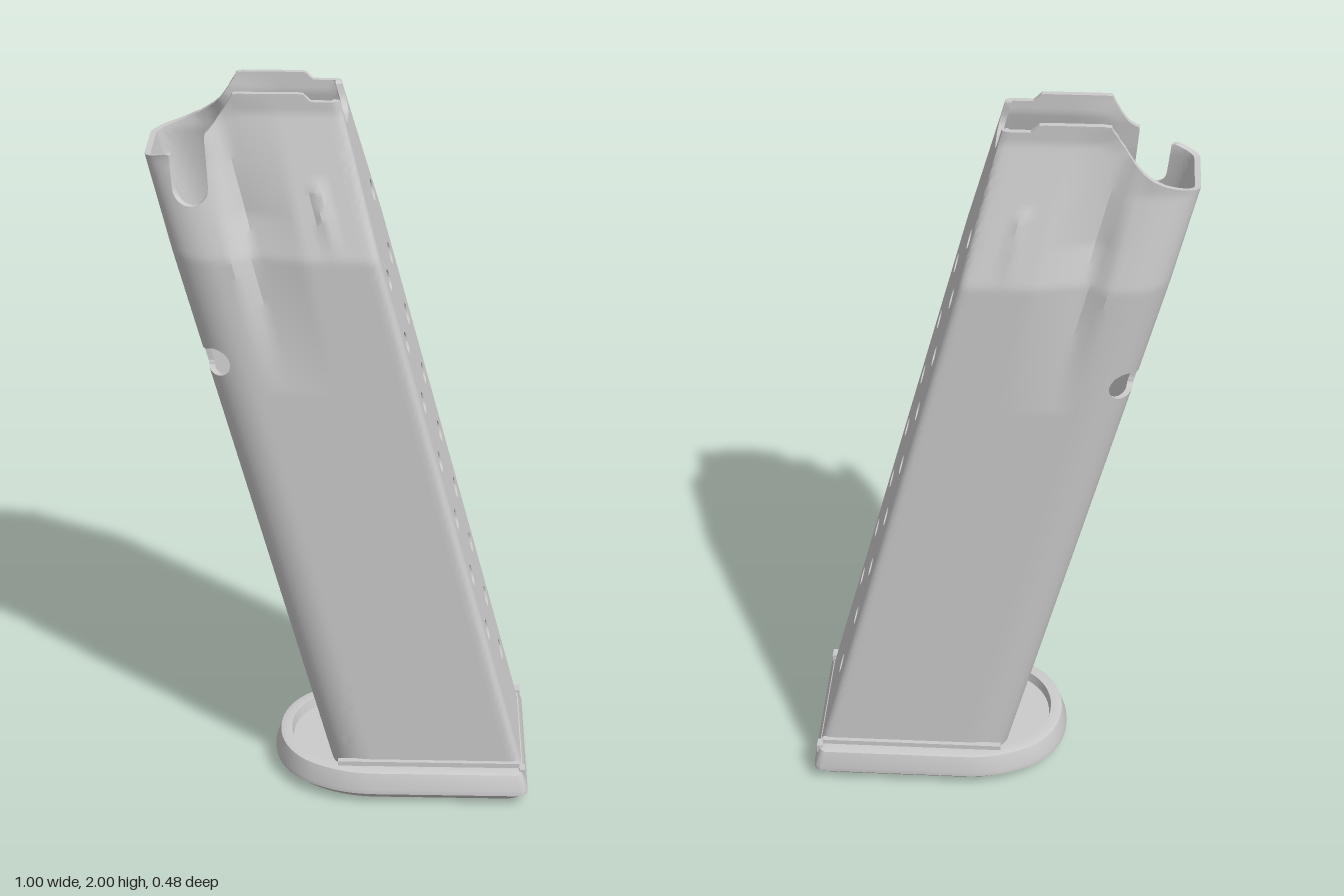
import * as THREE from 'three';
import { toCreasedNormals } from 'three/addons/utils/BufferGeometryUtils.js';

const HALF = 0.183, WALL = 0.015, ROWS = 170, BOTTOM = 0.06, TOP = 2.02;
const clamp01 = v => Math.min(1, Math.max(0, v));
const lerp = (a, b, t) => a + (b - a) * t;

// Slanted edges of the tube at height y
const leftEdge = y => -0.5 + (1.84 - y) * 0.2586;
const rightEdge = y => -0.02 + (1.98 - y) * 0.266;

// Rim height along x
const RIM = [[-0.5, 1.84], [-0.42, 1.862], [-0.37, 1.885], [-0.33, 1.92], [-0.3, 1.963],
  [-0.28, 2], [-0.11, 2], [-0.09, 1.98], [0, 1.98]];
function rimHeight(x) {
  if (x <= RIM[0][0]) return RIM[0][1];
  for (let i = 1; i < RIM.length; i++) {
    const [x0, y0] = RIM[i - 1], [x1, y1] = RIM[i];
    if (x <= x1) return lerp(y0, y1, (x - x0) / (x1 - x0));
  }
  return 1.98;
}

// Half-width of the tube: tapered neck, a pressed groove and a small rib on each side
function halfWidth(x, y) {
  const off = x - leftEdge(y);
  const front = HALF - 0.052 * clamp01((y - 1.6) / 0.24);
  const neck = HALF - 0.093 * clamp01((y - 1.6) / 0.35);
  let w = lerp(front, neck, clamp01((off - 0.12) / 0.08));
  const fold = lerp(-0.16, -0.3, (y - 1.24) / 0.68);
  const depth = y < 1.7 ? 0.04 * clamp01((y - 1.24) / 0.46) : 0.04 * clamp01((2 - y) / 0.3);
  const side = x < fold ? (fold - x) / 0.05 : (x - fold) / 0.13;
  w -= depth * clamp01(1 - side);
  const rib = clamp01((y - 1.6) / 0.1) * clamp01((1.8 - y) / 0.03);
  w += 0.014 * rib * clamp01(1 - Math.abs(off - 0.41) / 0.02);
  return Math.max(w, 0.086);
}

// Round holes in the wide wall: [z, y]
const HOLES = [[-0.085, 1.685], [-0.085, 0.305]];
for (let i = 0; i < 7; i++) for (const z of [-0.085, 0.09]) HOLES.push([z, 1.512 - i * 0.172]);

// Positive where the wall is solid, negative inside an opening
function solid(x, y, z) {
  const off = x - leftEdge(y);
  let d = rimHeight(x) - y;
  if (off > 0.45) {
    for (const [hz, hy] of HOLES) d = Math.min(d, Math.hypot(z - hz, y - hy) - 0.028);
    const a = Math.abs(z) - 0.028, b = Math.abs(y - 2.11) - 0.16; // rounded notch in the rim
    d = Math.min(d, Math.hypot(Math.max(a, 0), Math.max(b, 0)) + Math.min(Math.max(a, b), 0) - 0.04);
  } else if (off < 0.05) {
    for (const hy of [1.65, 0.25]) d = Math.min(d, Math.hypot(z, y - hy) - 0.028);
  }
  if (off < 0.25) {
    // openings through both rounded corners
    d = Math.min(d, Math.max(Math.hypot(x + 0.335, y - 1.31) - 0.04, 0.09 - Math.abs(z)));
    // slot in the left side
    const t = clamp01((y - 1.775) / 0.2);
    const slot = Math.hypot(x - lerp(-0.385, -0.4, t), y - lerp(1.775, 1.975, t)) - 0.045;
    d = Math.min(d, Math.max(slot, 0.04 - z));
  }
  return d;
}

// Half of the tube section as [x, z share of half-width], inset by t
function halfSection(y, t) {
  const x0 = leftEdge(y) + t, x1 = rightEdge(y) - t, h = HALF - t;
  const rx = 0.12 - t, rz = 0.083 - t, r = 0.022 - t, pts = [];
  const run = (n, f) => { for (let i = 0; i < n; i++) { const [x, z] = f(i / n); pts.push([x, z / h]); } };
  run(8, k => [x0, k * (h - rz)]);
  run(12, k => [x0 + rx * (1 - Math.cos(k * Math.PI / 2)), h - rz + rz * Math.sin(k * Math.PI / 2)]);
  run(24, k => [lerp(x0 + rx, x1 - r, k), h]);
  run(4, k => [x1 - r + r * Math.sin(k * Math.PI / 2), h - r + r * Math.cos(k * Math.PI / 2)]);
  run(14, k => [x1, (h - r) * (1 - k)]);
  pts.push([x1, 0]);
  return pts;
}

function sectionLoop(y, t) {
  const half = halfSection(y, t);
  const back = half.slice(1, -1).reverse().map(([x, z]) => [x, -z]);
  return [...half, ...back].map(([x, f]) => [x, y, f * (halfWidth(x, y) - t)]);
}

function makeMesh(name, positions, material, crease = 0.5) {
  const g = new THREE.BufferGeometry();
  g.setAttribute('position', new THREE.Float32BufferAttribute(positions, 3));
  const m = new THREE.Mesh(toCreasedNormals(g, crease), material);
  m.name = name;
  return m;
}

// Thin-walled tube: a grid of outer/inner point pairs trimmed by the openings
function tubePositions() {
  const out = [], grid = [];
  for (let j = 0; j <= ROWS; j++) {
    const y = lerp(BOTTOM, TOP, j / ROWS);
    const outer = sectionLoop(y, 0), inner = sectionLoop(y, WALL);
    grid.push(outer.map((p, i) => [solid(...p), ...p, ...inner[i]]));
  }
  const P = v => v.slice(1, 4), Q = v => v.slice(4, 7);
  const tri = (a, b, c) => out.push(...a, ...b, ...c);
  function clip(corners) {
    const poly = [];
    let exit, entry;
    corners.forEach((a, i) => {
      const b = corners[(i + 1) % 3];
      if (a[0] >= 0) poly.push(a);
      if ((a[0] >= 0) !== (b[0] >= 0)) {
        const t = a[0] / (a[0] - b[0]);
        const cut = a.map((v, k) => lerp(v, b[k], t));
        poly.push(cut);
        if (a[0] >= 0) exit = cut; else entry = cut;
      }
    });
    for (let i = 2; i < poly.length; i++) {
      tri(P(poly[0]), P(poly[i - 1]), P(poly[i]));
      tri(Q(poly[0]), Q(poly[i]), Q(poly[i - 1]));
    }
    if (exit && entry) { // wall thickness along the cut
      tri(P(entry), P(exit), Q(exit));
      tri(P(entry), Q(exit), Q(entry));
    }
  }
  const n = grid[0].length;
  for (let j = 0; j < ROWS; j++) for (let i = 0; i < n; i++) {
    const k = (i + 1) % n, a = grid[j][i], b = grid[j][k], c = grid[j + 1][k], d = grid[j + 1][i];
    clip([a, b, c]);
    clip([a, c, d]);
  }
  return out;
}

// Base plate: rounded nose outline, lofted through [y, inset] rings
function platePositions() {
  const s = new THREE.Shape();
  s.moveTo(-0.205, 0);
  s.bezierCurveTo(-0.205, 0.1, -0.15, 0.165, -0.1, 0.193);
  s.bezierCurveTo(-0.05, 0.22, 0, 0.24, 0.08, 0.24);
  s.lineTo(0.475, 0.24);
  s.quadraticCurveTo(0.498, 0.235, 0.498, 0.21);
  s.lineTo(0.498, 0);
  const half = s.getPoints(10);
  const outline = [...half, ...half.slice(1, -1).reverse().map(p => new THREE.Vector2(p.x, -p.y))];
  const rings = [[0.006, 1], [0.006, 0.03], [0.036, 0], [0.05, 0], [0.095, 0.014],
    [0.098, 0.024], [0.098, 0.045], [0.07, 0.05], [0.07, 1]].map(([y, inset]) => outline.map(p => {
    const sx = Math.max(0, 1 - inset / 0.35), sz = Math.max(0, 1 - inset / 0.24);
    return [0.147 + (p.x - 0.147) * sx, y, p.y * sz];
  }));
  const out = [];
  for (let j = 0; j + 1 < rings.length; j++) outline.forEach((_, i) => {
    const k = (i + 1) % outline.length;
    const a = rings[j][i], b = rings[j][k], c = rings[j + 1][k], d = rings[j + 1][i];
    if (j > 0) out.push(...a, ...b, ...c);
    if (j + 2 < rings.length) out.push(...a, ...c, ...d);
    else if (j > 0) out.push(...a, ...c, ...d);
    else out.push(...b, ...c, ...d);
  });
  return out;
}

export function createModel() {
  const group = new THREE.Group();
  group.name = 'slantedTubeWithBase';
  const grey = new THREE.MeshStandardMaterial({ color: 0xcccccc });
  group.add(makeMesh('tubeBody', tubePositions(), grey));
  group.add(makeMesh('basePlate', platePositions(), grey));

  // Rails where the tube meets the plate, with small stops at the end corners
  for (const side of [1, -1]) {
    const rail = new THREE.Mesh(new THREE.BoxGeometry(0.5, 0.05, 0.016), grey);
    rail.name = 'baseRail';
    rail.position.set(0.225, 0.087, side * 0.187);
    const stop = new THREE.Mesh(new THREE.BoxGeometry(0.016, 0.045, 0.03), grey);
    stop.name = 'cornerStop';
    stop.position.set(0.482, 0.08, side * 0.195);
    group.add(rail, stop);
  }

  // Button under the plate
  const button = new THREE.Mesh(new THREE.CylinderGeometry(0.045, 0.045, 0.02, 32), grey);
  button.name = 'baseButton';
  button.position.set(0.2, 0.01, 0);
  group.add(button);
  return group;
}
